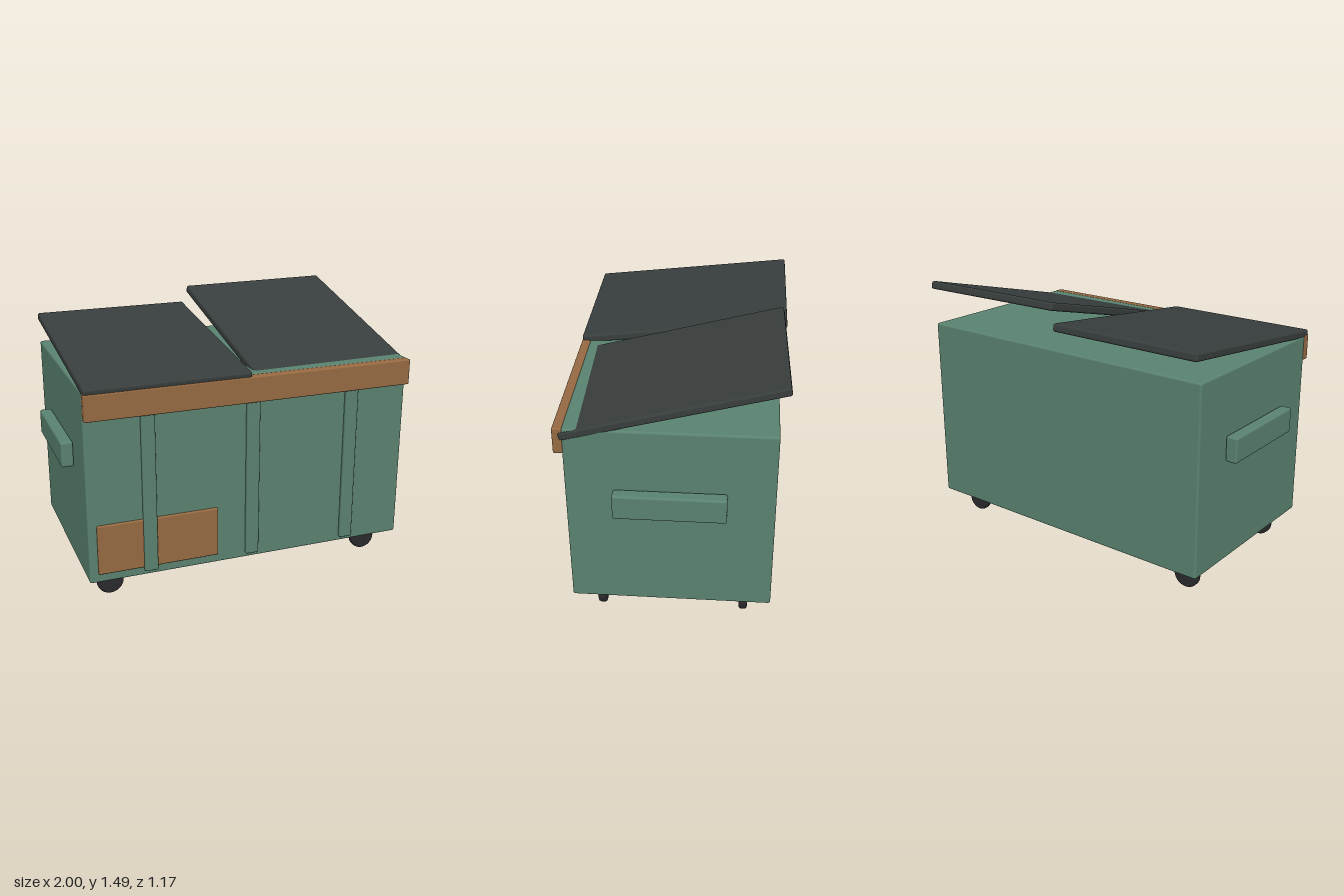
import * as THREE from 'three';
import { RoundedBoxGeometry } from 'three/addons/geometries/RoundedBoxGeometry.js';

const paint = (color) => new THREE.MeshStandardMaterial({ color });

export function createModel() {
  const model = new THREE.Group();
  const green = paint(0x5a8270);
  const rust = paint(0x966a42);
  const lidGrey = paint(0x383e3d);
  const rubber = paint(0x2a2a2d);

  const add = (name, geometry, material, x, y, z) => {
    const mesh = new THREE.Mesh(geometry, material);
    mesh.name = name;
    mesh.position.set(x, y, z);
    model.add(mesh);
    return mesh;
  };
  const box = (w, h, d, r) => new RoundedBoxGeometry(w, h, d, 3, r);

  // Bin body, with its rusty front rim and patch
  add('body', box(1.855, 1.075, 1.077, 0.012), green, 0, 0.6875, 0);
  add('frontRim', box(1.855, 0.145, 0.05, 0.008), rust, 0, 1.1525, 0.56);
  add('rustPatch', box(0.68, 0.285, 0.03, 0.008), rust, -0.54, 0.343, 0.536);

  // Upright ribs on the front
  for (const x of [-0.59, -0.002, 0.585]) {
    add('frontRib', box(0.076, 0.92, 0.03, 0.01), green, x, 0.64, 0.551);
  }

  // Side handles
  for (const side of [-1, 1]) {
    add('sideHandle', box(0.068, 0.143, 0.585, 0.012), green, side * 0.964, 0.808, 0);
  }

  // Two propped lids; the left one is tilted further and knocked askew
  const lid = (name, x, y, z, tilt, yaw) => {
    const mesh = add(name, box(0.905, 0.045, 1.17, 0.012), lidGrey, x, y, z);
    mesh.rotation.set(tilt, yaw, 0, 'YXZ');
  };
  lid('rightLid', -0.473, 1.296, 0, 0.116, 0);
  lid('leftLid', 0.4675, 1.323, -0.003, 0.249, 0.027);

  // Wheels: a disc with rounded shoulders, turned about z
  const R = 0.075, half = 0.023, bevel = 0.014;
  const profile = [new THREE.Vector2(0, -half)];
  for (const end of [-1, 1]) {
    for (let i = 0; i <= 4; i++) {
      const a = (end < 0 ? i - 4 : i) * Math.PI / 8;
      profile.push(new THREE.Vector2(
        R - bevel + bevel * Math.cos(a),
        end * (half - bevel) + bevel * Math.sin(a)));
    }
  }
  profile.push(new THREE.Vector2(0, half));
  const wheelShape = new THREE.LatheGeometry(profile, 32).rotateX(Math.PI / 2);
  for (const x of [-0.785, 0.785]) {
    for (const z of [-0.392, 0.392]) add('wheel', wheelShape, rubber, x, R, z);
  }

  return model;
}
